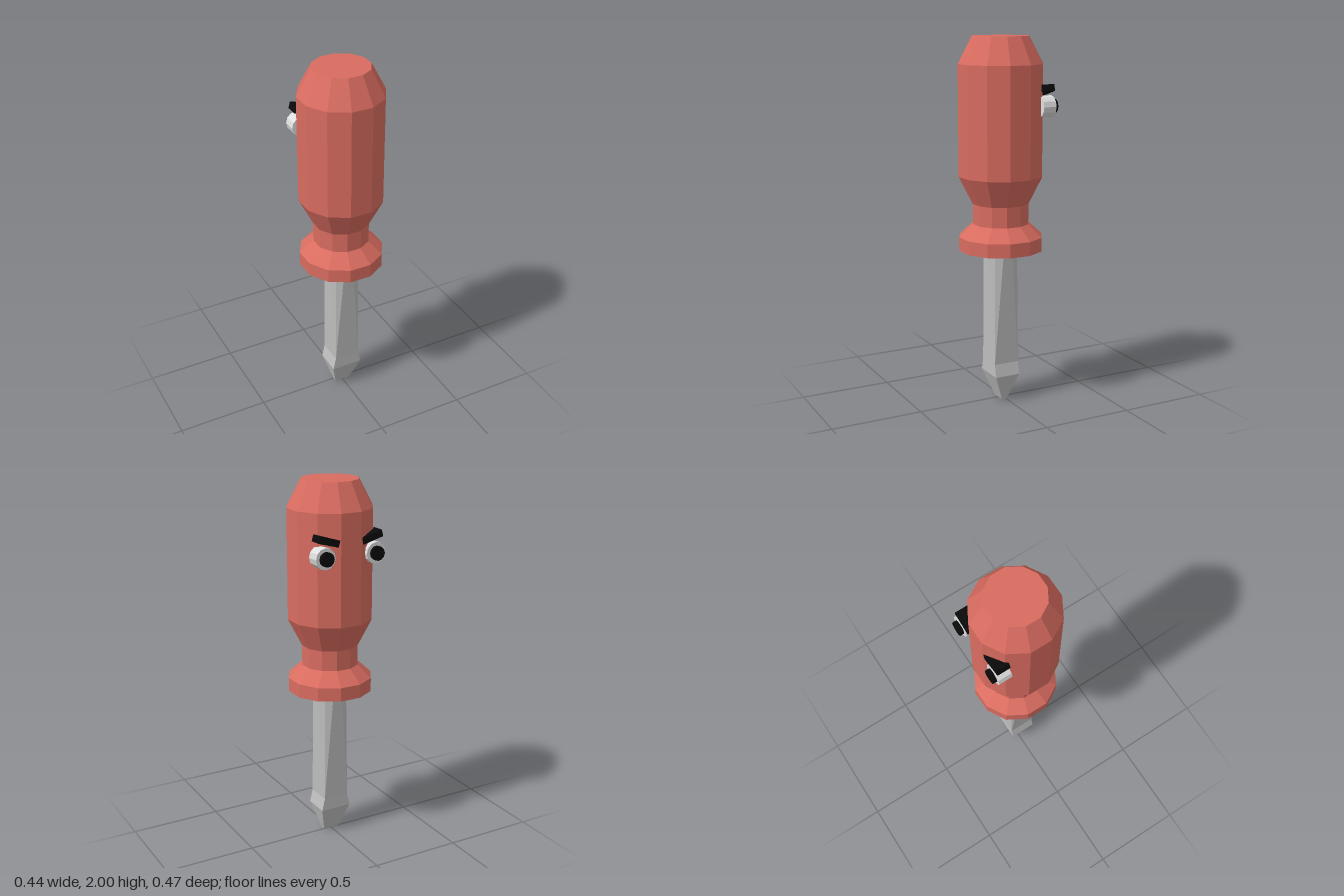
import * as THREE from 'three';

const paint = (name, color) => {
  const m = new THREE.MeshStandardMaterial({ color });
  m.name = name;
  m.flatShading = true;
  return m;
};

// Loft between 12-point rings of [x, y, z], closed at both ends, skipping collapsed triangles
function loft(rings) {
  const pos = [];
  const tri = (a, b, c) => {
    const t = new THREE.Triangle(new THREE.Vector3(...a), new THREE.Vector3(...b), new THREE.Vector3(...c));
    if (t.getArea() > 1e-8) pos.push(...a, ...b, ...c);
  };
  const n = rings[0].length;
  for (let r = 0; r < rings.length - 1; r++) {
    const lo = rings[r], hi = rings[r + 1];
    for (let i = 0; i < n; i++) {
      const j = (i + 1) % n;
      tri(lo[i], hi[i], hi[j]);
      tri(lo[i], hi[j], lo[j]);
    }
  }
  const first = rings[0], last = rings[rings.length - 1];
  for (let i = 1; i < n - 1; i++) {
    tri(first[0], first[i], first[i + 1]);
    tri(last[0], last[i + 1], last[i]);
  }
  const g = new THREE.BufferGeometry();
  g.setAttribute('position', new THREE.Float32BufferAttribute(pos, 3));
  g.computeVertexNormals();
  return g;
}

export function createModel() {
  const red = paint('handleRed', 0xd96c60);
  const steel = paint('steelGrey', 0xbfbfbf);
  const white = paint('eyeWhite', 0xdedede);
  const black = paint('black', 0x0a0a0a);

  const model = new THREE.Group();
  model.name = 'screwdriver';
  const add = (name, geometry, material, x = 0, y = 0, z = 0) => {
    const mesh = new THREE.Mesh(geometry, material);
    mesh.name = name;
    mesh.position.set(x, y, z);
    model.add(mesh);
    return mesh;
  };

  // Twelve-sided handle with collar, neck and tapered cap
  const profile = [
    [0, 0.855], [0.23, 0.855], [0.23, 0.93], [0.154, 1.0], [0.154, 1.11],
    [0.23, 1.26], [0.23, 1.855], [0.154, 2.0], [0, 2.0],
  ].map(([r, y]) => new THREE.Vector2(r, y));
  const handle = new THREE.LatheGeometry(profile, 12);
  handle.rotateY(Math.PI / 12);
  add('handle', handle, red, 0, 0, 0.01);

  // Shaft: round at the top, square below, flattened to a blade tip
  const angles = Array.from({ length: 12 }, (_, i) => Math.PI / 12 + (i * Math.PI) / 6);
  const square = (y, hx, hz) =>
    angles.map((a) => [Math.sign(Math.cos(a)) * hx, y, Math.sign(Math.sin(a)) * hz]);
  const round = (y, r) => angles.map((a) => [Math.cos(a) * r, y, Math.sin(a) * r]);
  add('shaft', loft([
    square(0, 0.045, 0.014),
    square(0.15, 0.088, 0.072),
    square(0.22, 0.072, 0.072),
    round(0.87, 0.093),
  ]), steel, 0, 0, 0.012);

  // Eyes and slanted brows on the back of the handle, mirrored
  const eye = new THREE.CylinderGeometry(0.057, 0.057, 0.074, 12).rotateX(Math.PI / 2);
  const pupil = new THREE.CylinderGeometry(0.038, 0.038, 0.03, 12).rotateX(Math.PI / 2);
  const brow = new THREE.BoxGeometry(0.119, 0.036, 0.073);
  for (const [side, s] of [['left', 1], ['right', -1]]) {
    add(side + 'Eye', eye, white, s * 0.148, 1.635, -0.176);
    add(side + 'Pupil', pupil, black, s * 0.148, 1.635, -0.22);
    add(side + 'Brow', brow, black, s * 0.127, 1.719, -0.176).rotation.z = s * 0.27;
  }
  return model;
}
